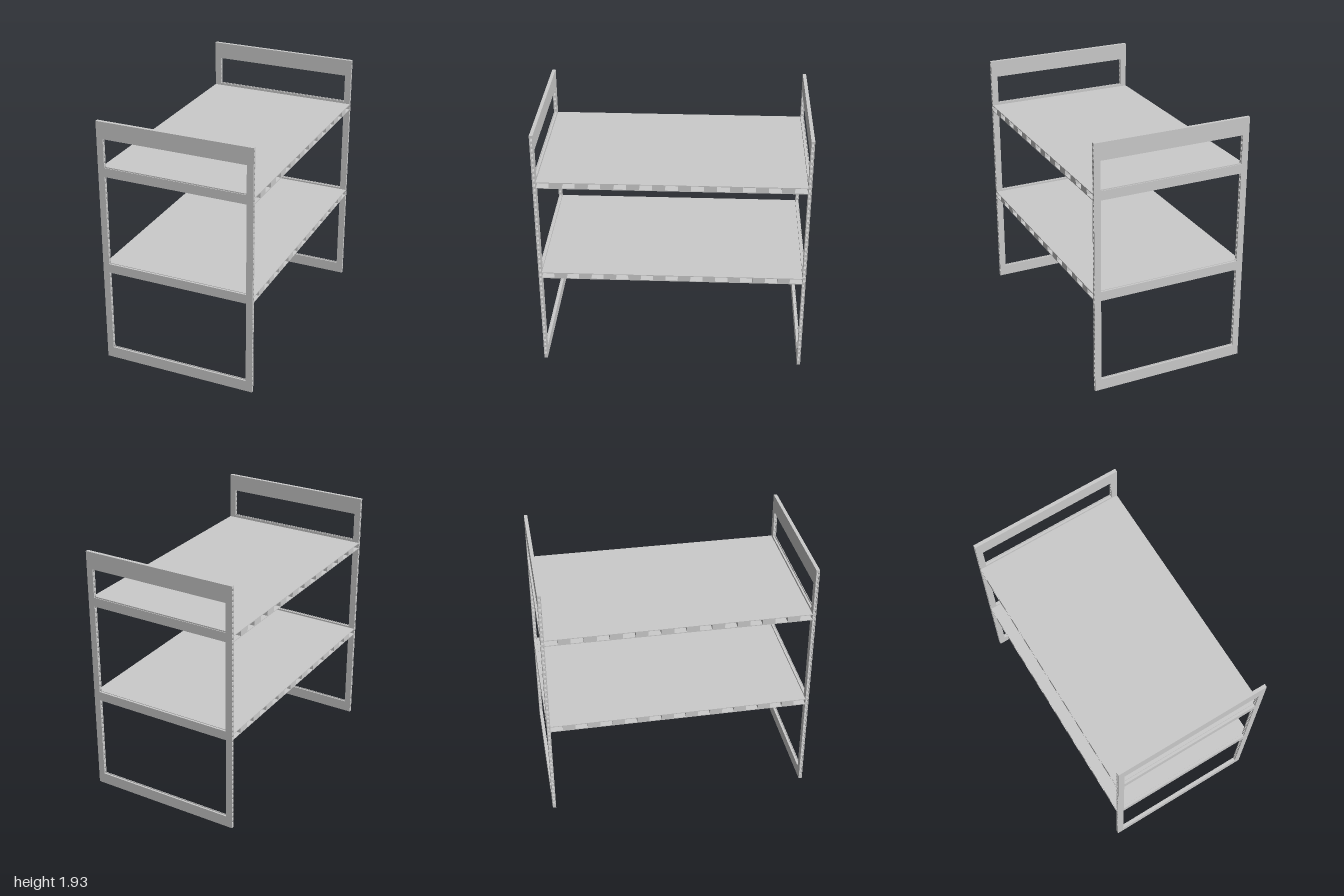
import * as THREE from 'three';

const W = 1.2, H = 1.93, POST = 0.05;
const FRAME = 0.026, FRAME_SKIN = 0.005;   // end panel and its facing sheets
const SHELF = 0.05, SHELF_SKIN = 0.006;    // shelf board and its facing sheets
const WINDOWS = [[0.087, 0.737], [0.808, 1.51], [1.58, 1.8]];
const SHELVES = [0.77, 1.537];             // mid-heights

const material = new THREE.MeshStandardMaterial({ color: 0xcccccc, flatShading: true });

function box(parent, name, w, h, d, x, y, z) {
  const mesh = new THREE.Mesh(new THREE.BoxGeometry(w, h, d), material);
  mesh.name = name;
  mesh.position.set(x, y, z);
  parent.add(mesh);
}

function rectangle(Type, x0, y0, x1, y1) {
  return new Type([[x0, y0], [x1, y0], [x1, y1], [x0, y1]].map(p => new THREE.Vector2(...p)));
}

// One core rib from y0 to y1, interrupted wherever it crosses a window
function addRib(parent, y0, y1) {
  const cuts = [y0, ...WINDOWS.flat().filter(y => y > y0 && y < y1), y1];
  const depth = FRAME - 2 * FRAME_SKIN;
  for (let i = 0; i < cuts.length - 1; i++) {
    const y = (cuts[i] + cuts[i + 1]) / 2, h = cuts[i + 1] - cuts[i];
    if (WINDOWS.some(([a, b]) => y > a && y < b)) {
      for (const s of [-1, 1]) box(parent, 'postRib', POST, h, depth, s * (W - POST) / 2, y, 0);
    } else {
      box(parent, 'railRib', W, h, depth, 0, y, 0);
    }
  }
}

// End panel: two facing sheets with windows over a core of horizontal ribs
function createEndFrame(name, z) {
  const frame = new THREE.Group();
  frame.name = name;
  frame.position.z = z;
  const shape = rectangle(THREE.Shape, -W / 2, 0, W / 2, H);
  for (const [a, b] of WINDOWS) {
    shape.holes.push(rectangle(THREE.Path, -W / 2 + POST, a, W / 2 - POST, b));
  }
  const sheet = new THREE.ExtrudeGeometry(shape, { depth: FRAME_SKIN, bevelEnabled: false });
  for (const offset of [-FRAME / 2, FRAME / 2 - FRAME_SKIN]) {
    const mesh = new THREE.Mesh(sheet, material);
    mesh.name = 'frameSheet';
    mesh.position.z = offset;
    frame.add(mesh);
  }
  const base = 0.04, count = 47, pitch = (H - base) / count;
  addRib(frame, 0, base);
  for (let i = 0; i < count; i++) {
    addRib(frame, base + (i + 0.5) * pitch, base + (i + 1) * pitch);
  }
  return frame;
}

// Shelf: two sheets with crosswise ribs filling every second cell
function createShelf(name, y) {
  const shelf = new THREE.Group();
  shelf.name = name;
  shelf.position.y = y;
  const length = 2 - 2 * FRAME, cells = 21, cell = length / cells;
  for (const s of [-1, 1]) {
    box(shelf, 'shelfSheet', W, SHELF_SKIN, length, 0, s * (SHELF - SHELF_SKIN) / 2, 0);
  }
  for (let i = 1; i < cells; i += 2) {
    box(shelf, 'shelfRib', W, SHELF - 2 * SHELF_SKIN, cell, 0, 0, -length / 2 + (i + 0.5) * cell);
  }
  return shelf;
}

export function createModel() {
  const model = new THREE.Group();
  model.name = 'shelfUnit';
  model.add(createEndFrame('frontFrame', 1 - FRAME / 2));
  model.add(createEndFrame('backFrame', -1 + FRAME / 2));
  model.add(createShelf('lowerShelf', SHELVES[0]));
  model.add(createShelf('upperShelf', SHELVES[1]));
  return model;
}
